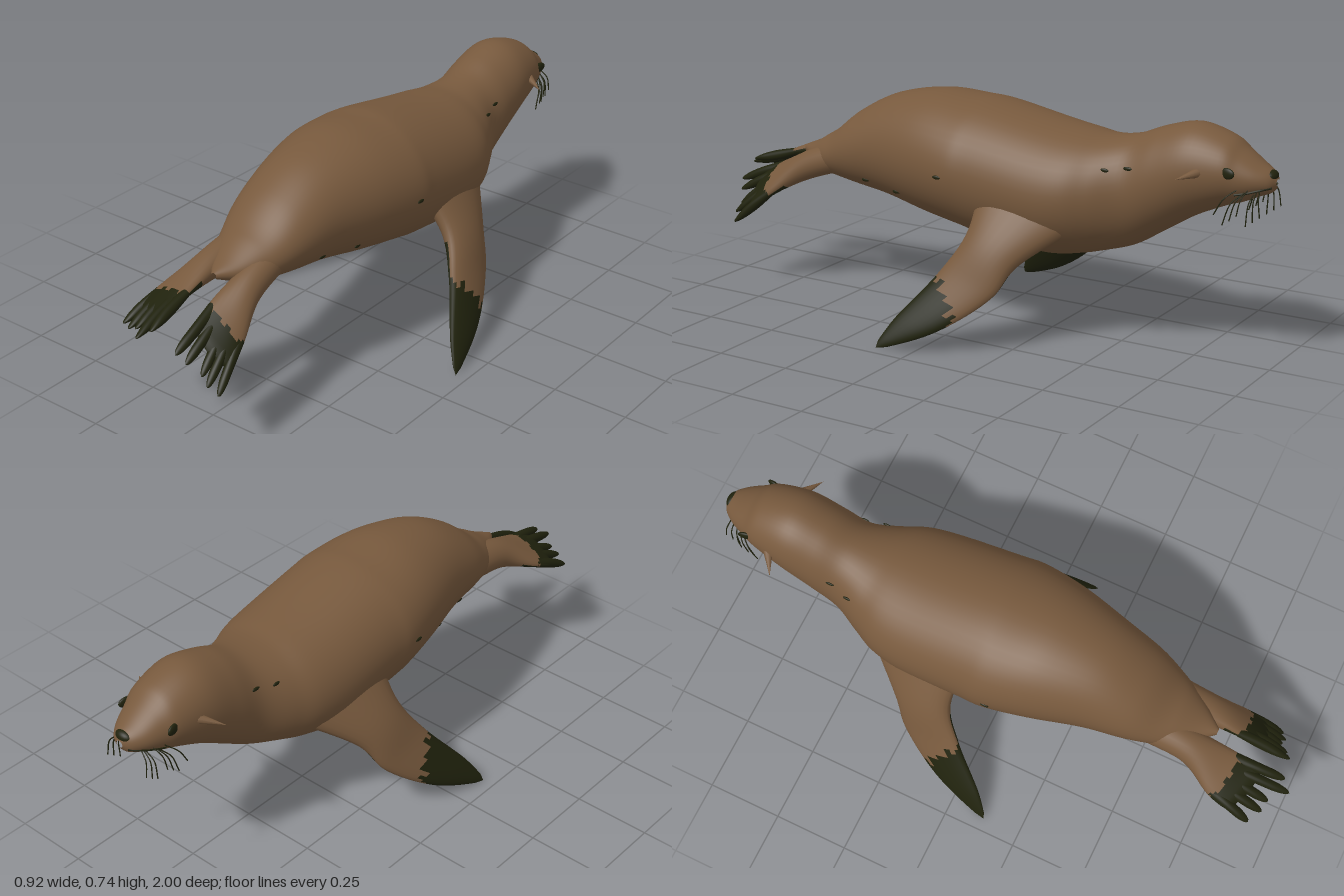
import * as THREE from 'three';

const V = (x, y, z) => new THREE.Vector3(x, y, z);
const curve = pts => new THREE.CatmullRomCurve3(pts.map(p => V(...p)), false, 'catmullrom', 0.5);

const fur = new THREE.MeshStandardMaterial({ color: 0x77593d });
fur.name = 'brown fur';
const skin = new THREE.MeshStandardMaterial({ color: 0x20220d });
skin.name = 'dark skin';

// Skin closed rings into one smooth surface; isDark(i, j) picks the material of each patch
function loft(name, rings, isDark) {
  const n = rings[0].length, sets = [[], []], pos = rings.flat();
  let volume = 0;
  for (let i = 0; i < rings.length - 1; i++) {
    for (let j = 0; j < n; j++) {
      const k = (j + 1) % n;
      const a = i * n + j, b = i * n + k, c = a + n, d = b + n;
      const tris = [[a, b, c], [b, d, c]];
      for (const t of tris) {
        sets[isDark(i, j) ? 1 : 0].push(t);
        const m = pos[t[0]];
        volume += pos[t[1]].clone().sub(rings[0][0]).cross(pos[t[2]].clone().sub(rings[0][0]))
          .dot(m.clone().sub(rings[0][0]));
      }
    }
  }
  const wind = s => s.flatMap(t => (volume < 0 ? [t[0], t[2], t[1]] : t));
  const geo = new THREE.BufferGeometry().setFromPoints(pos);
  geo.setIndex([...wind(sets[0]), ...wind(sets[1])]);
  geo.addGroup(0, sets[0].length * 3, 0);
  geo.addGroup(sets[0].length * 3, sets[1].length * 3, 1);
  geo.computeVertexNormals();
  const mesh = new THREE.Mesh(geo, [fur, skin]);
  mesh.name = name;
  return mesh;
}

// Flat blade between two edge curves, rounded at the tip; isDark(t, across, upperSide)
function blade(name, edgeA, edgeB, thick, up, isDark, rounding = 0.2) {
  const A = curve(edgeA), B = curve(edgeB), T = curve(thick.map((h, i) => [h, i, 0]));
  const steps = 30, sides = 24, rings = [];
  const mid = t => A.getPoint(t).add(B.getPoint(t)).multiplyScalar(0.5);
  for (let i = 0; i <= steps; i++) {
    const t = i / steps;
    const c = mid(t), chord = B.getPoint(t).sub(A.getPoint(t)).multiplyScalar(0.5);
    const along = mid(Math.min(1, t + 0.02)).sub(mid(Math.max(0, t - 0.02)));
    const n = chord.clone().cross(along).normalize();
    if (n.dot(up) < 0) n.negate();
    const e = Math.max(0, (t - 1 + rounding) / rounding);
    const k = Math.sqrt(Math.max(0, 1 - e * e));
    rings.push(Array.from({ length: sides }, (_, j) => {
      const q = j / sides * Math.PI * 2;
      return c.clone().addScaledVector(chord, Math.cos(q) * k)
        .addScaledVector(n, Math.sin(q) * T.getPoint(t).x * k);
    }));
  }
  return loft(name, rings, (i, j) => {
    const q = (j + 0.5) / sides * Math.PI * 2;
    return isDark(i / steps, Math.cos(q), Math.sin(q) > 0);
  });
}

// Body stations: z, top, bottom, half width
const stations = [
  [-1, 0.61, 0.588, 0.012], [-0.985, 0.632, 0.568, 0.04], [-0.95, 0.655, 0.553, 0.067],
  [-0.9, 0.69, 0.53, 0.09], [-0.85, 0.725, 0.513, 0.11], [-0.745, 0.753, 0.465, 0.13],
  [-0.64, 0.73, 0.4, 0.135], [-0.55, 0.695, 0.345, 0.142], [-0.46, 0.682, 0.315, 0.185],
  [-0.38, 0.69, 0.295, 0.222], [-0.27, 0.707, 0.28, 0.24], [-0.07, 0.745, 0.3, 0.247],
  [0.02, 0.752, 0.32, 0.25], [0.165, 0.757, 0.345, 0.225], [0.33, 0.725, 0.38, 0.182],
  [0.46, 0.66, 0.4, 0.155], [0.55, 0.59, 0.415, 0.125], [0.6, 0.56, 0.422, 0.1],
  [0.66, 0.525, 0.45, 0.06], [0.72, 0.5, 0.48, 0.01],
];
const heights = curve(stations.map(s => [s[0], s[1], s[2]]));
const widths = curve(stations.map(s => [s[0], s[3], 0]));
function bodyPoint(t, q) {
  const h = heights.getPoint(t), w = widths.getPoint(t).y;
  return V(w * Math.cos(q), (h.y + h.z) / 2 + (h.y - h.z) / 2 * Math.sin(q), h.x);
}

// Point on the skin at a given z and y, on side s
function onSkin(z, y, s) {
  let lo = 0, hi = 1;
  for (let i = 0; i < 30; i++) {
    const m = (lo + hi) / 2;
    if (heights.getPoint(m).x < z) lo = m; else hi = m;
  }
  const h = heights.getPoint(lo);
  const q = Math.asin(THREE.MathUtils.clamp((2 * y - h.y - h.z) / (h.y - h.z), -1, 1));
  const p = bodyPoint(lo, q);
  p.x *= s;
  return p;
}

function ellipsoid(name, p, size, mat, yaw = 0) {
  const m = new THREE.Mesh(new THREE.SphereGeometry(1, 20, 14), mat);
  m.name = name;
  m.position.copy(p);
  m.scale.set(...size);
  m.rotation.y = yaw;
  return m;
}

function tube(name, pts, radius, mat) {
  const m = new THREE.Mesh(new THREE.TubeGeometry(new THREE.CatmullRomCurve3(pts), 12, radius, 6), mat);
  m.name = name;
  return m;
}

export function createModel() {
  const seal = new THREE.Group();
  seal.name = 'seaLion';

  const rings = Array.from({ length: 115 }, (_, i) =>
    Array.from({ length: 48 }, (_, j) => bodyPoint(i / 114, j / 48 * Math.PI * 2)));
  seal.add(loft('body', rings, () => false));
  seal.add(ellipsoid('nose', V(0, 0.618, -0.98), [0.03, 0.018, 0.019], skin));

  for (const s of [1, -1]) {
    const side = s > 0 ? 'left' : 'right';
    const mirror = pts => pts.map(([x, y, z]) => [x * s, y, z]);

    // Front flipper: dark beneath and toward the tip
    seal.add(blade(side + 'FrontFlipper',
      mirror([[0.15, 0.41, -0.42], [0.27, 0.3, -0.28], [0.33, 0.2, -0.22], [0.4, 0.1, -0.09], [0.463, 0.004, 0.1]]),
      mirror([[0.17, 0.5, -0.08], [0.26, 0.37, -0.09], [0.325, 0.255, -0.03], [0.385, 0.15, 0.05], [0.456, 0.03, 0.145]]),
      [0.06, 0.045, 0.03, 0.02, 0.01], V(s, 0.6, -0.3),
      (t, a, upper) => t + 0.02 * Math.sin(a * 14) > (upper ? 0.6 - 0.1 * a : 0.3)));

    // Face
    seal.add(ellipsoid(side + 'Eye', onSkin(-0.88, 0.632, s), [0.008, 0.017, 0.026], skin, s * -0.2));
    seal.add(tube(side + 'Mouth', [[-0.992, 0.588], [-0.965, 0.582], [-0.93, 0.572], [-0.895, 0.565]]
      .map(([z, y]) => onSkin(z, y, s)), 0.004, skin));
    const root = onSkin(-0.785, 0.625, s);
    const ear = new THREE.Mesh(new THREE.ConeGeometry(0.016, 0.085, 10), fur);
    ear.name = side + 'Ear';
    ear.position.copy(root).add(V(s * 0.022, -0.005, 0.012));
    ear.quaternion.setFromUnitVectors(V(0, 1, 0), V(s * 0.85, -0.15, 0.5).normalize());
    seal.add(ear);

    // Whiskers sweep out and down from the muzzle
    for (let i = 0; i < 7; i++) {
      const z = -0.965 + 0.01 * i, p = onSkin(z, 0.582 - 0.008 * (i % 3), s);
      const back = -0.015 + 0.012 * i;
      seal.add(tube(side + 'Whisker', [p, p.clone().add(V(s * 0.025, -0.025, back * 0.5)),
        p.clone().add(V(s * 0.03, -0.075 - 0.008 * (i % 3), back))], 0.002, skin));
    }

    // Small scars on the flank
    for (const [z, y] of [[0.03, 0.53], [0.24, 0.435], [0.38, 0.45], [-0.5, 0.6], [-0.57, 0.61]]) {
      seal.add(ellipsoid(side + 'Scar', onSkin(z, y, s), [0.004, 0.006, 0.015], skin));
    }
  }

  // Hind flippers: inner edge, outer edge and toe tips from inner to outer
  const hind = [
    { side: 'left', up: V(0.6, 0.7, 0),
      inner: [[0.02, 0.53, 0.52], [0.03, 0.48, 0.66], [0.035, 0.44, 0.78], [0.045, 0.39, 0.88]],
      outer: [[0.11, 0.47, 0.52], [0.12, 0.42, 0.66], [0.155, 0.345, 0.77], [0.168, 0.28, 0.86]],
      tips: [[0.06, 0.36, 0.96], [0.085, 0.33, 0.945], [0.12, 0.29, 0.92], [0.145, 0.265, 0.925], [0.172, 0.238, 0.91]] },
    { side: 'right', up: V(-0.3, 1, 0),
      inner: [[-0.02, 0.53, 0.52], [-0.025, 0.5, 0.66], [-0.025, 0.46, 0.8], [-0.03, 0.425, 0.91]],
      outer: [[-0.12, 0.47, 0.52], [-0.125, 0.45, 0.66], [-0.175, 0.41, 0.77], [-0.19, 0.375, 0.86]],
      tips: [[-0.025, 0.41, 0.97], [-0.055, 0.39, 1], [-0.105, 0.38, 0.95], [-0.14, 0.365, 0.945], [-0.185, 0.355, 0.92]] },
  ];
  for (const f of hind) {
    seal.add(blade(f.side + 'HindFlipper', f.inner, f.outer, [0.05, 0.045, 0.025, 0.012], f.up,
      (t, a, upper) => t + 0.025 * Math.sin(a * 9) > (upper ? 0.7 : 0.5), 0.12));
    const a = V(...f.inner[2]), b = V(...f.outer[2]);
    f.tips.forEach((tip, i) => {
      const base = a.clone().lerp(b, 0.12 + 0.19 * i), end = V(...tip);
      const across = b.clone().sub(a).normalize().multiplyScalar(0.019);
      const edge = k => [0, 0.5, 1].map(t => base.clone().lerp(end, t)
        .addScaledVector(across, k * (1 - 0.25 * t)).toArray());
      seal.add(blade(f.side + 'Toe', edge(-1), edge(1), [0.014, 0.017, 0.008], f.up, () => true, 0.3));
    });
  }
  return seal;
}
